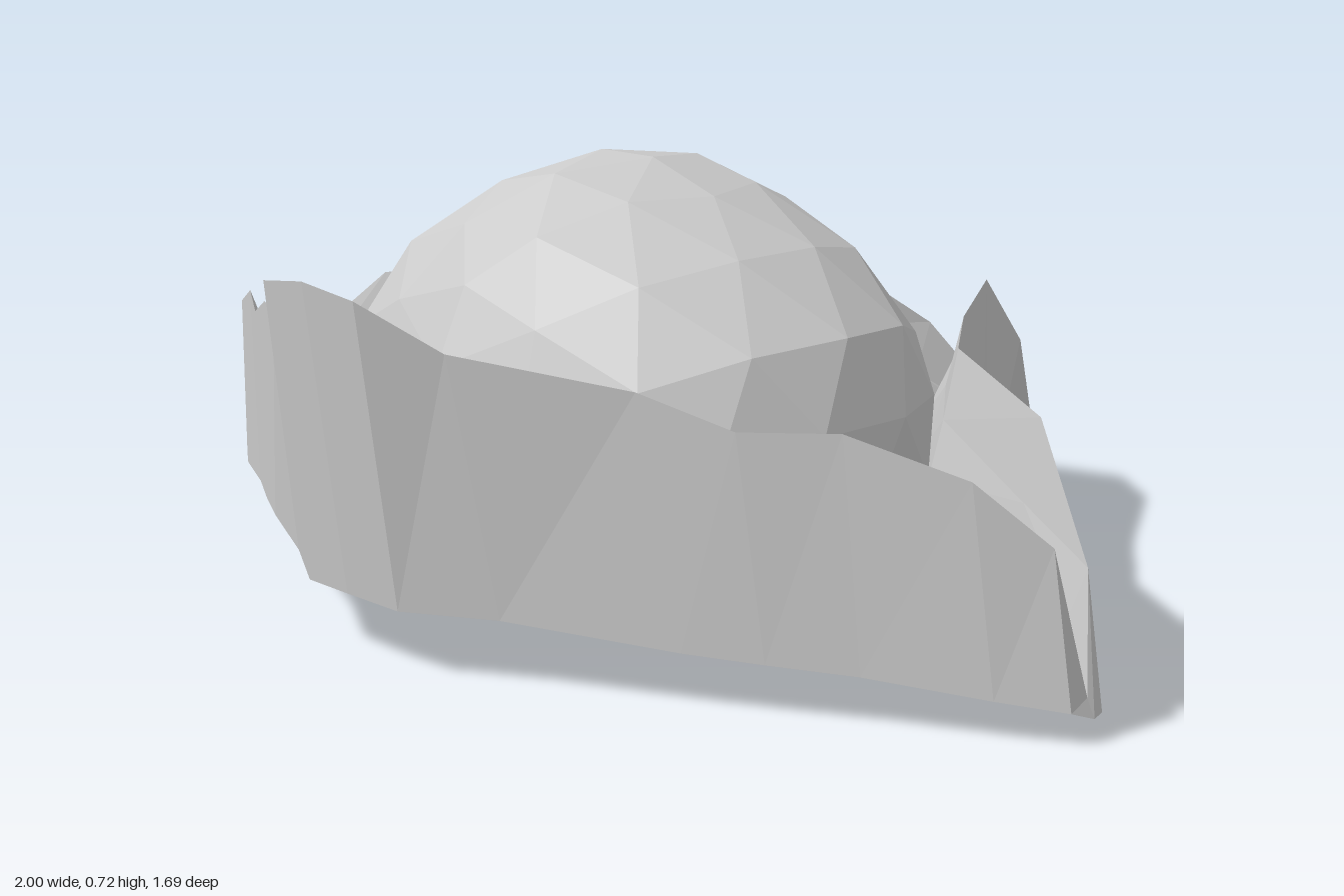
import * as THREE from 'three';

const material = new THREE.MeshStandardMaterial({ color: 0xcccccc, flatShading: true });
const lerp = THREE.MathUtils.lerp;
const centreZ = 0.18;

// Half of the brim, front centre round to back centre:
// [lower edge], [upper edge], [foot of the inner wall]
const halfBrim = [
  [[0, 0.115, 0.78], [0, 0.605, 0.845], [0, 0.36, 0.69]],
  [[0.11, 0.11, 0.77], [0.11, 0.59, 0.835], [0.1, 0.36, 0.68]],
  [[0.25, 0.11, 0.69], [0.21, 0.515, 0.75], [0.24, 0.31, 0.62]],
  [[0.5, 0.09, 0.56], [0.45, 0.475, 0.6], [0.43, 0.26, 0.51]],
  [[0.61, 0.085, 0.5], [0.58, 0.428, 0.53], [0.55, 0.22, 0.44]],
  [[0.73, 0.08, 0.43], [0.71, 0.435, 0.45], [0.66, 0.18, 0.38]],
  [[0.9, 0.065, 0.34], [0.87, 0.38, 0.36], [0.82, 0.14, 0.3]],
  [[0.99, 0.055, 0.28], [0.96, 0.29, 0.29], [0.92, 0.1, 0.26]],
  [[1, 0.04, 0.24], [0.99, 0.07, 0.245], [0.93, 0.1, 0.24]],
  [[0.99, 0.04, 0.21], [0.95, 0.24, 0.2], [0.9, 0.11, 0.215]],
  [[0.8, 0.06, 0.09], [0.78, 0.41, 0.1], [0.74, 0.17, 0.12]],
  [[0.54, 0.095, -0.05], [0.51, 0.45, -0.03], [0.48, 0.24, 0]],
  [[0.42, 0.09, -0.2], [0.36, 0.45, -0.22], [0.33, 0.24, -0.17]],
  [[0.26, 0.08, -0.41], [0.2, 0.455, -0.47], [0.15, 0.22, -0.37]],
  [[0.08, 0.005, -0.68], [0.11, 0.3, -0.68], [0.06, 0.15, -0.55]],
  [[0.02, 0.02, -0.845], [0.02, 0.05, -0.845], [0.01, 0.09, -0.72]],
];

// Point on an oval around the head opening, in the direction of a brim corner
function onOval([x, , z], radius, y) {
  const angle = Math.atan2(z - centreZ, x);
  return [0.52 * radius * Math.cos(angle), y, centreZ + 0.45 * radius * Math.sin(angle)];
}

function createBrim() {
  const mirrored = halfBrim.slice(1, -1).reverse()
    .map(column => column.map(([x, y, z]) => [-x, y, z]));
  const columns = [...halfBrim, ...mirrored];
  const positions = [];
  const index = [];

  // Each section runs from the shallow head opening, over the wall, to under the crown
  for (const [low, high, foot] of columns) {
    positions.push(
      0, 0.165, centreZ,
      ...onOval(low, 0.75, 0.15),
      ...onOval(low, 1, 0.1),
      ...low, ...high,
      lerp(high[0], foot[0], 0.5), lerp(high[1], foot[1], 0.55), lerp(high[2], foot[2], 0.5),
      ...foot,
      0, 0.26, centreZ,
    );
  }
  const rows = 8;
  columns.forEach((_, j) => {
    const a = j * rows;
    const b = ((j + 1) % columns.length) * rows;
    for (let r = 0; r < rows - 1; r++) {
      if (r < rows - 2) index.push(a + r, b + r + 1, a + r + 1);
      else index.push(a + r, b + r, a + r + 1);
      if (r > 0 && r < rows - 2) index.push(a + r, b + r, b + r + 1);
    }
  });

  const geometry = new THREE.BufferGeometry();
  geometry.setAttribute('position', new THREE.Float32BufferAttribute(positions, 3));
  geometry.setIndex(index);
  const flat = geometry.toNonIndexed();
  flat.computeVertexNormals();
  const brim = new THREE.Mesh(flat, material);
  brim.name = 'foldedBrim';
  return brim;
}

function createCrown() {
  // Faceted dome, narrowing towards the top, with an upright skirt below its widest point
  const geometry = new THREE.IcosahedronGeometry(1, 2);
  const p = geometry.attributes.position;
  for (let i = 0; i < p.count; i++) {
    const h = Math.max(p.getY(i), 0);
    const skirt = p.getY(i) < 0 && p.getY(i) > -0.7
      ? 1 / Math.hypot(p.getX(i), p.getZ(i)) : 1;
    p.setXYZ(
      i,
      p.getX(i) * skirt * 0.52 * (1 - 0.45 * h ** 3),
      Math.max(0.36 + 0.375 * p.getY(i), 0.17),
      centreZ + p.getZ(i) * skirt * 0.445 * (1 - 0.3 * h * (1 - h)) + 0.02 * h,
    );
  }
  geometry.computeVertexNormals();
  const crown = new THREE.Mesh(geometry, material);
  crown.name = 'crown';
  return crown;
}

export function createModel() {
  const hat = new THREE.Group();
  hat.name = 'threeCorneredHat';
  hat.add(createBrim(), createCrown());
  return hat;
}
